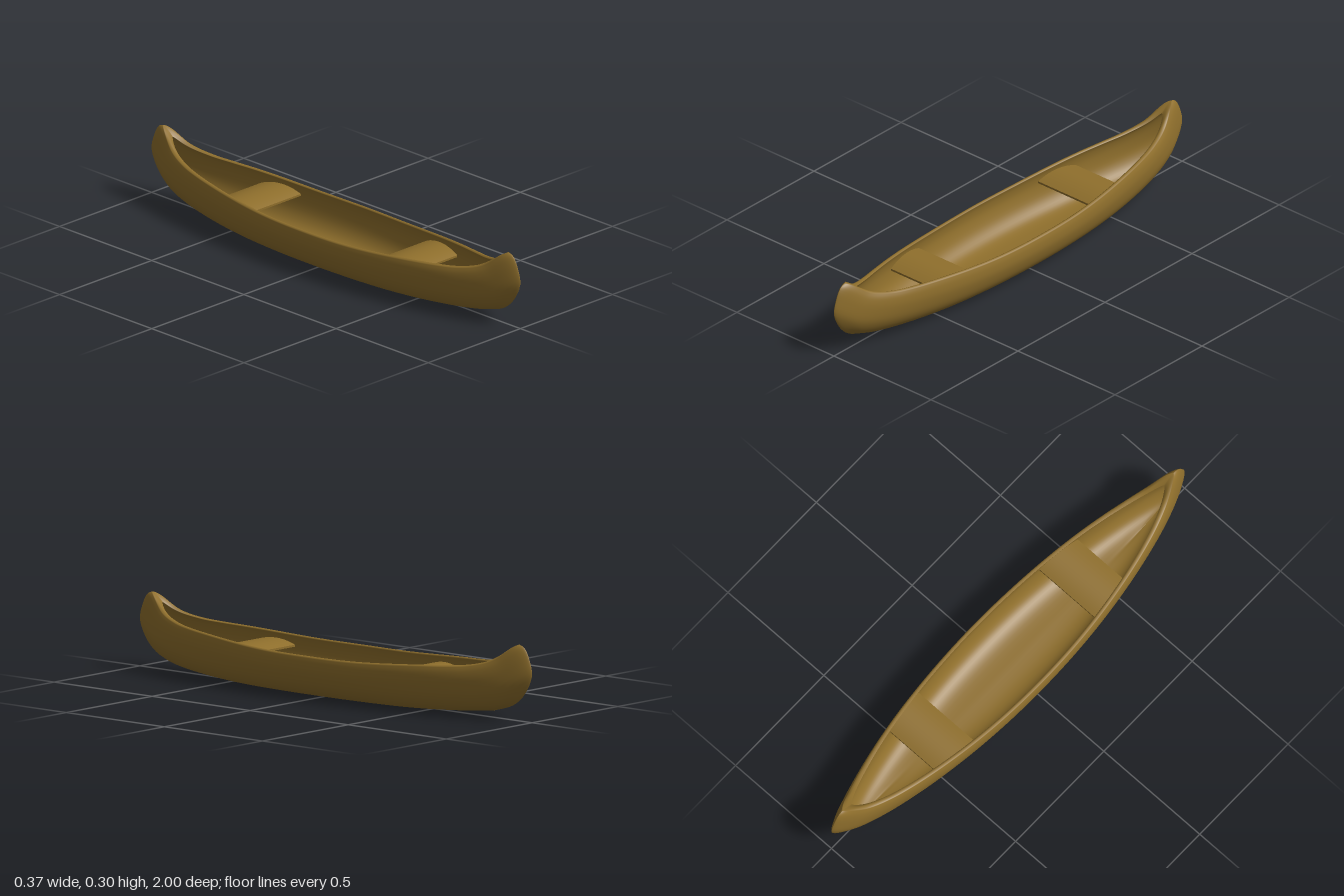
import * as THREE from 'three';

const V = (x, y) => new THREE.Vector2(x, y);
const lerp = THREE.MathUtils.lerp;

// Half of the midship section (x, height fraction), keel to sheer
const midSection = new THREE.SplineCurve([
  V(0, 0), V(0.08, 0.015), V(0.13, 0.11), V(0.163, 0.32), V(0.181, 0.62), V(0.182, 0.85), V(0.176, 1)]);
// Stem outline (z, height), keel end to peak
const stem = new THREE.SplineCurve([
  V(0.8, 0.025), V(0.9, 0.055), V(0.962, 0.105), V(0.999, 0.18), V(0.985, 0.245), V(0.962, 0.285), V(0.935, 0.297)]);
// Heights of the sheer and keel lines, from midship to the end
const curveOf = (heights) => new THREE.SplineCurve(heights.map((h, i) => V(i / (heights.length - 1), h)));
const sheer = curveOf([0.168, 0.168, 0.169, 0.172, 0.177, 0.183, 0.189, 0.195, 0.205, 0.232, 0.297]);
const keel = curveOf([0, 0, 0, 0, 0, 0.001, 0.003, 0.006, 0.01, 0.016, 0.025]);

const beam = (s) => Math.pow(Math.max(0, 1 - s * s), 0.75);

// Point on the hull skin: s runs end to end (-1..1), v from keel to sheer (0..1)
function skin(s, v, side, inner) {
  const m = midSection.getPoint(v), e = stem.getPoint(v);
  const a = Math.abs(s);
  const z = s * (e.x - (inner ? 0.05 : 0));
  const at = inner ? a * 0.945 : a;
  const low = keel.getPoint(at).y, high = sheer.getPoint(at).y;
  const fraction = lerp(m.y, (e.y - 0.025) / 0.272, Math.pow(a, 3));
  const x = side * m.x * beam(s) * (inner ? 0.925 : 1);
  const y = lerp(low, high, fraction) + (inner ? 0.012 * (1 - v) : 0);
  return new THREE.Vector3(x, y, z);
}

// Closed cross-section: outer skin, right rim, inner skin, left rim
function section(s) {
  const n = 24, ring = [];
  const rim = (side) => skin(s, 1, side, false).lerp(skin(s, 1, side, true), 0.5).add(new THREE.Vector3(0, 0.003, 0));
  for (let i = -n; i <= n; i++) ring.push(skin(s, Math.abs(i) / n, Math.sign(i), false));
  ring.push(rim(1));
  for (let i = n; i >= -n; i--) ring.push(skin(s, Math.abs(i) / n, Math.sign(i), true));
  ring.push(rim(-1));
  return ring;
}

function hullGeometry() {
  const steps = 112, positions = [], index = [];
  let count = 0;
  for (let i = 0; i <= steps; i++) {
    const ring = section(Math.sin((i / steps - 0.5) * Math.PI));
    count = ring.length;
    ring.forEach((p) => positions.push(p.x, p.y, p.z));
  }
  for (let i = 0; i < steps; i++) {
    for (let j = 0; j < count; j++) {
      const k = (j + 1) % count;
      const a = i * count + j, b = i * count + k, c = a + count, d = b + count;
      index.push(a, b, c, b, d, c);
    }
  }
  const geometry = new THREE.BufferGeometry();
  geometry.setAttribute('position', new THREE.Float32BufferAttribute(positions, 3));
  geometry.setIndex(index);
  geometry.computeVertexNormals();
  return geometry;
}

// Thin arched panel, tapered to meet the inner walls
function seatGeometry(centre) {
  const length = 0.19;
  const geometry = new THREE.BoxGeometry(2, 0.008, length, 1, 1, 16);
  const p = geometry.attributes.position;
  for (let i = 0; i < p.count; i++) {
    const t = p.getZ(i) / (length / 2);
    const z = p.getZ(i) + centre;
    const halfWidth = skin(z / 0.93, 0.75, 1, true).x + 0.003;
    p.setXYZ(i, p.getX(i) * halfWidth, p.getY(i) + 0.132 + 0.02 * (1 - t * t), z);
  }
  geometry.computeVertexNormals();
  return geometry;
}

export function createModel() {
  const group = new THREE.Group();
  group.name = 'canoe';
  const wood = new THREE.MeshStandardMaterial({ color: 0x8f6f2c });
  const add = (name, geometry) => {
    const mesh = new THREE.Mesh(geometry, wood);
    mesh.name = name;
    group.add(mesh);
  };
  add('hull', hullGeometry());
  add('frontSeat', seatGeometry(0.437));
  add('rearSeat', seatGeometry(-0.437));
  return group;
}
